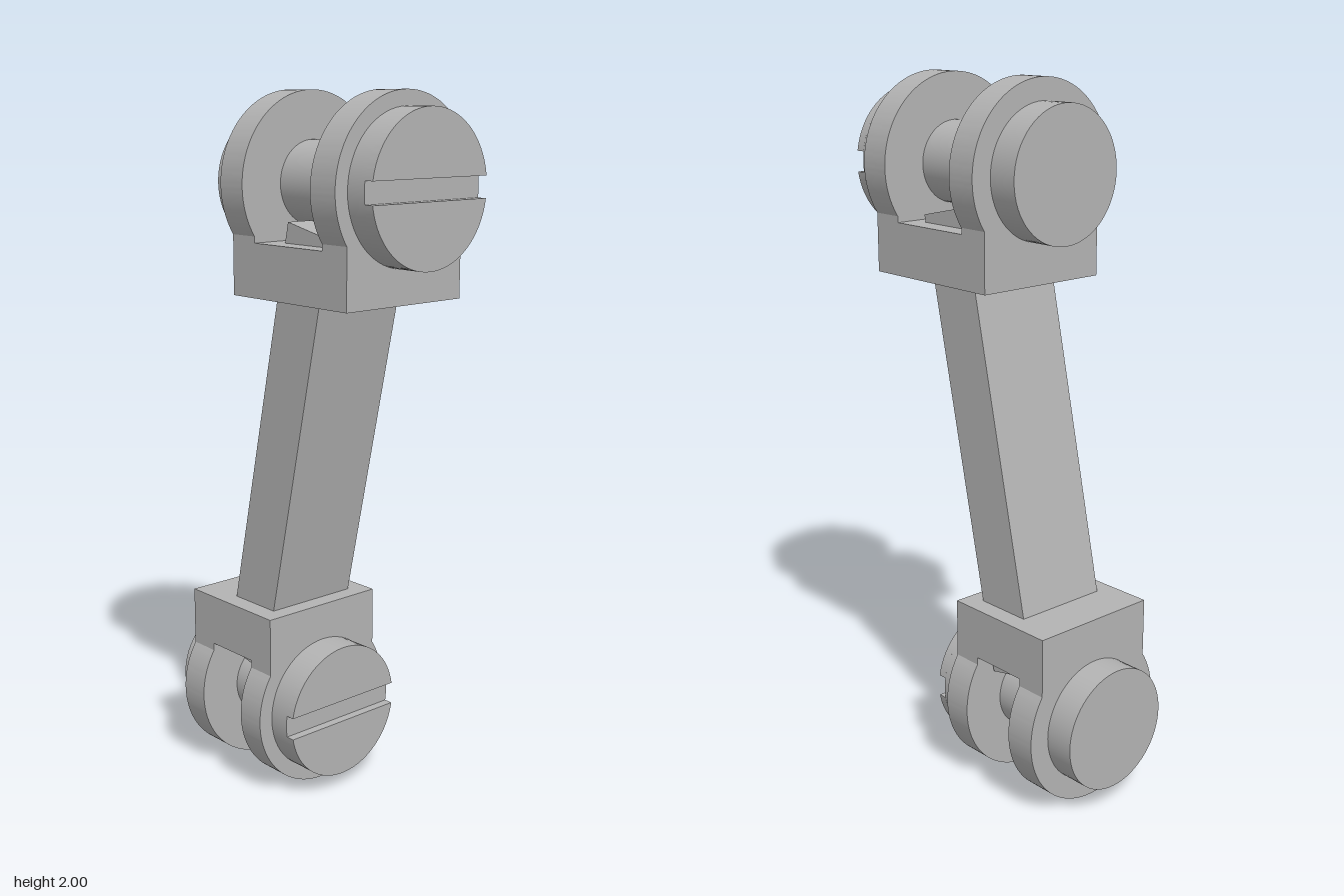
import * as THREE from 'three';
import { toCreasedNormals } from 'three/addons/utils/BufferGeometryUtils.js';

const steel = new THREE.MeshStandardMaterial({ color: 0xb3b3b3 });
steel.name = 'grey steel';

function add(parent, name, geometry, z = 0, y = 0) {
  const mesh = new THREE.Mesh(geometry, steel);
  mesh.name = name;
  mesh.position.set(0, y, z);
  parent.add(mesh);
  return mesh;
}

// Extrudes a shape forward from z = 0 with smooth curved walls
function slab(shape, depth) {
  const g = new THREE.ExtrudeGeometry(shape, { depth, bevelEnabled: false, curveSegments: 64 });
  return toCreasedNormals(g, 0.5);
}

// Cylinder lying along z between two depths
function disc(parent, name, radius, z0, z1) {
  const g = new THREE.CylinderGeometry(radius, radius, z1 - z0, 64).rotateX(Math.PI / 2);
  return add(parent, name, g, (z0 + z1) / 2);
}

// Fork with its pin; the origin is the pin axis and the base block hangs below
function createFork(name, p) {
  const fork = new THREE.Group();
  fork.name = name;

  // Cheek plates: round at the top, straight sides down into the base
  const a = Math.acos(p.half / p.radius);
  const cheek = new THREE.Shape();
  cheek.moveTo(-p.half, -p.bottom);
  cheek.lineTo(p.half, -p.bottom);
  cheek.lineTo(p.half, -p.radius * Math.sin(a));
  cheek.absarc(0, 0, p.radius, -a, Math.PI + a, false);
  cheek.closePath();
  add(fork, 'frontCheek', slab(cheek, p.front - p.innerFront), p.innerFront);
  add(fork, 'backCheek', slab(cheek, p.innerBack - p.back), p.back);

  // Base block joining the cheeks
  add(fork, 'forkBase', new THREE.BoxGeometry(p.half * 2, p.bottom - p.floor, p.innerFront - p.innerBack),
    (p.innerFront + p.innerBack) / 2, -(p.bottom + p.floor) / 2);

  // Pin shaft and plain rear cap
  disc(fork, 'pinShaft', 0.115, p.innerBack, p.innerFront);
  disc(fork, 'pinCap', p.capRadius, p.capBack, p.back);

  // Screw head: a disc with two raised segments leaving a slot between them
  const slotFloor = p.headFront - p.slotDepth;
  disc(fork, 'screwHead', p.headRadius, p.front, slotFloor);
  const b = Math.asin(p.slotHalf / p.headRadius);
  for (const [label, start] of [['upper', 0], ['lower', Math.PI]]) {
    const segment = new THREE.Shape();
    segment.absarc(0, 0, p.headRadius, start + b, start + Math.PI - b, false);
    segment.closePath();
    add(fork, label + 'HeadSegment', slab(segment, p.slotDepth), slotFloor);
  }
  return fork;
}

export function createModel() {
  const model = new THREE.Group();
  model.name = 'linkArm';

  const top = createFork('topFork', {
    radius: 0.246, half: 0.206, bottom: 0.3, floor: 0.152,
    front: 0.337, innerFront: 0.244, innerBack: -0.026, back: -0.118,
    headRadius: 0.205, headFront: 0.425, slotDepth: 0.028, slotHalf: 0.029,
    capRadius: 0.185, capBack: -0.208,
  });
  top.position.y = 1.754;
  model.add(top);

  const bottom = createFork('bottomFork', {
    radius: 0.241, half: 0.2, bottom: 0.304, floor: 0.156,
    front: 0.018, innerFront: -0.07, innerBack: -0.247, back: -0.339,
    headRadius: 0.197, headFront: 0.109, slotDepth: 0.026, slotHalf: 0.032,
    capRadius: 0.178, capBack: -0.426,
  });
  bottom.position.y = 0.241;
  bottom.rotation.z = Math.PI;
  model.add(bottom);

  // Slanted bar whose ends poke through both fork bases
  const bar = add(model, 'bar', new THREE.BoxGeometry(0.29, 1.314, 0.167), -0.019, 0.999);
  bar.rotation.x = 0.2158;

  return model;
}
